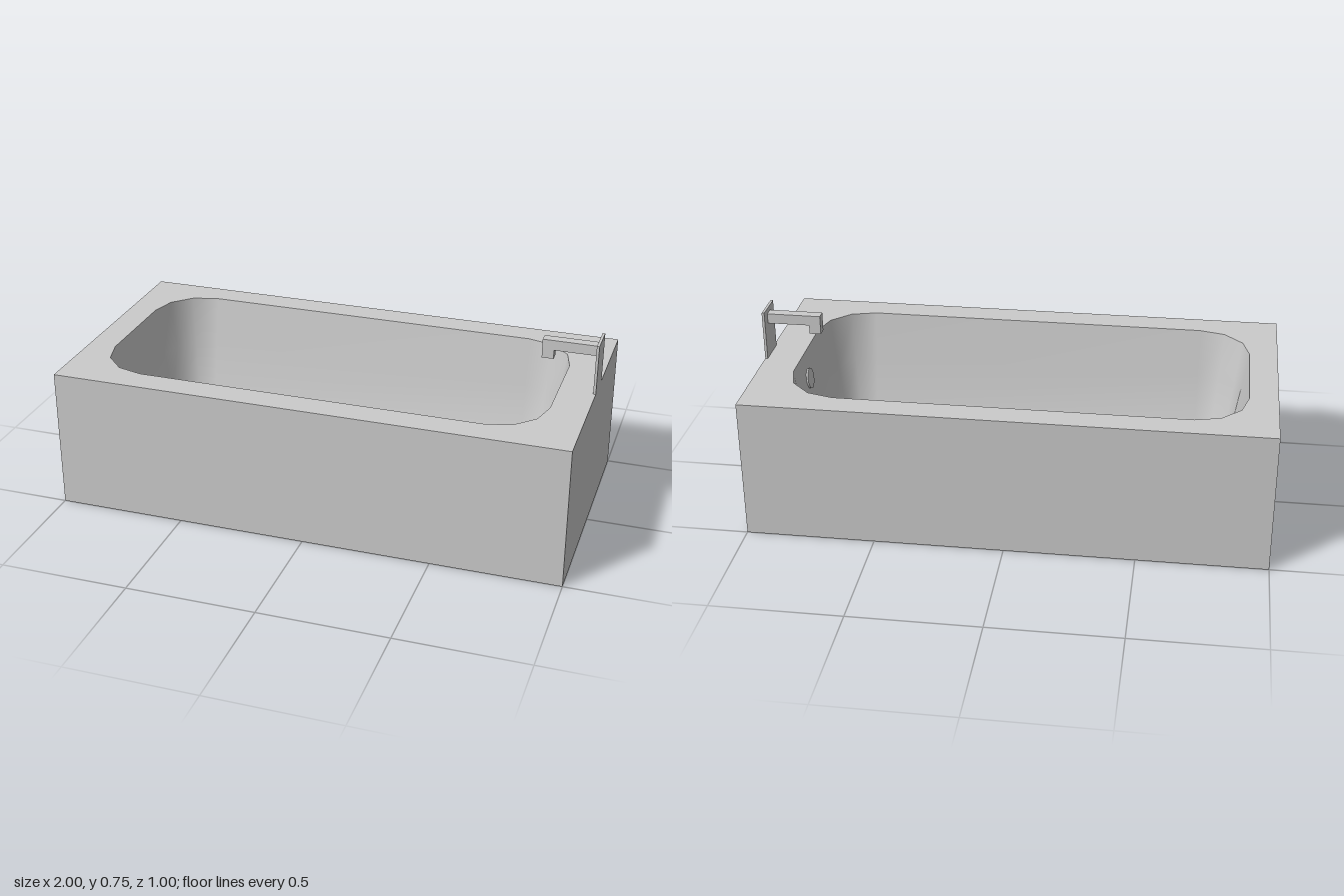
import * as THREE from 'three';

const H = 0.555;                                       // rim height
const FLOOR = 0.1;                                     // basin floor height
const X0 = -0.89, X1 = 0.86, Z0 = -0.395, Z1 = 0.39;   // basin opening
const R = 0.2;                                         // opening corner radius
const FITTING_Z = -0.04;

const mat = new THREE.MeshStandardMaterial({ color: 0xcccccc });

function part(name, geometry, x = 0, y = 0, z = 0) {
  const mesh = new THREE.Mesh(geometry, mat);
  mesh.name = name;
  mesh.position.set(x, y, z);
  return mesh;
}

// Rounded rectangle of the basin, shrunk by inset; each corner has three segments
function outline(inset) {
  const r = R - inset;
  const centres = [[X1 - R, Z1 - R], [X0 + R, Z1 - R], [X0 + R, Z0 + R], [X1 - R, Z0 + R]];
  return centres.flatMap(([cx, cz], corner) =>
    [0, 1, 2, 3].map((k) => {
      const a = (corner + k / 3) * Math.PI / 2;
      return new THREE.Vector2(cx + r * Math.cos(a), cz + r * Math.sin(a));
    }));
}

// Outer block without its top face
function shellGeometry() {
  const g = new THREE.BoxGeometry(2, H, 1);
  const index = Array.from(g.index.array);
  const top = g.groups[2];
  index.splice(top.start, top.count);
  g.clearGroups();
  g.setIndex(index);
  return g;
}

// Flat top with the basin opening cut out
function rimGeometry() {
  const shape = new THREE.Shape([[-1, -0.5], [1, -0.5], [1, 0.5], [-1, 0.5]]
    .map(([x, y]) => new THREE.Vector2(x, y)));
  shape.holes.push(new THREE.Path(outline(0).map((p) => new THREE.Vector2(p.x, -p.y))));
  return new THREE.ShapeGeometry(shape).rotateX(-Math.PI / 2);
}

// Basin skin lofted from the opening down to the floor
function basinGeometry() {
  const levels = [[H, 0], [0.36, 0.03], [0.18, 0.06], [0.125, 0.085], [FLOOR, 0.13], [FLOOR, 0.19]];
  const positions = [], index = [];
  for (const [y, inset] of levels) {
    for (const p of outline(inset)) positions.push(p.x, y, p.y);
  }
  const n = 16, last = (levels.length - 1) * n, centre = levels.length * n;
  positions.push((X0 + X1) / 2, FLOOR, (Z0 + Z1) / 2);
  for (let i = 0; i < n; i++) {
    const j = (i + 1) % n;
    for (let k = 0; k < last; k += n) {
      index.push(k + i, k + n + i, k + j, k + j, k + n + i, k + n + j);
    }
    index.push(centre, last + j, last + i);
  }
  const g = new THREE.BufferGeometry();
  g.setAttribute('position', new THREE.Float32BufferAttribute(positions, 3));
  g.setIndex(index);
  g.computeVertexNormals();
  return g;
}

// Angled spout: long arm with a short outlet turned down
function spoutGeometry() {
  const profile = [[0.78, 0.655], [0.825, 0.655], [0.825, 0.69], [0.99, 0.69], [0.99, 0.73], [0.78, 0.73]];
  const shape = new THREE.Shape(profile.map(([x, y]) => new THREE.Vector2(x, y)));
  return new THREE.ExtrudeGeometry(shape, { depth: 0.04, bevelEnabled: false });
}

export function createModel() {
  const model = new THREE.Group();
  model.name = 'bathtub';

  const tub = new THREE.Group();
  tub.name = 'tub';
  tub.add(
    part('outerShell', shellGeometry(), 0, H / 2, 0),
    part('rim', rimGeometry(), 0, H, 0),
    part('basin', basinGeometry()),
  );

  // Octagonal drain in the floor and overflow on the end wall
  const drain = part('drain', new THREE.CylinderGeometry(0.055, 0.055, 0.01, 8), 0.585, FLOOR + 0.003, FITTING_Z);
  const overflow = part('overflow', new THREE.CylinderGeometry(0.042, 0.042, 0.012, 8), 0.843, 0.45, FITTING_Z);
  overflow.rotation.z = Math.PI / 2 - 0.15;

  const faucet = new THREE.Group();
  faucet.name = 'faucet';
  faucet.add(
    part('faucetPlate', new THREE.BoxGeometry(0.01, 0.195, 0.127), 0.995, H + 0.0975, -0.036),
    part('spout', spoutGeometry(), 0, 0, FITTING_Z - 0.02),
  );

  model.add(tub, drain, overflow, faucet);
  return model;
}
